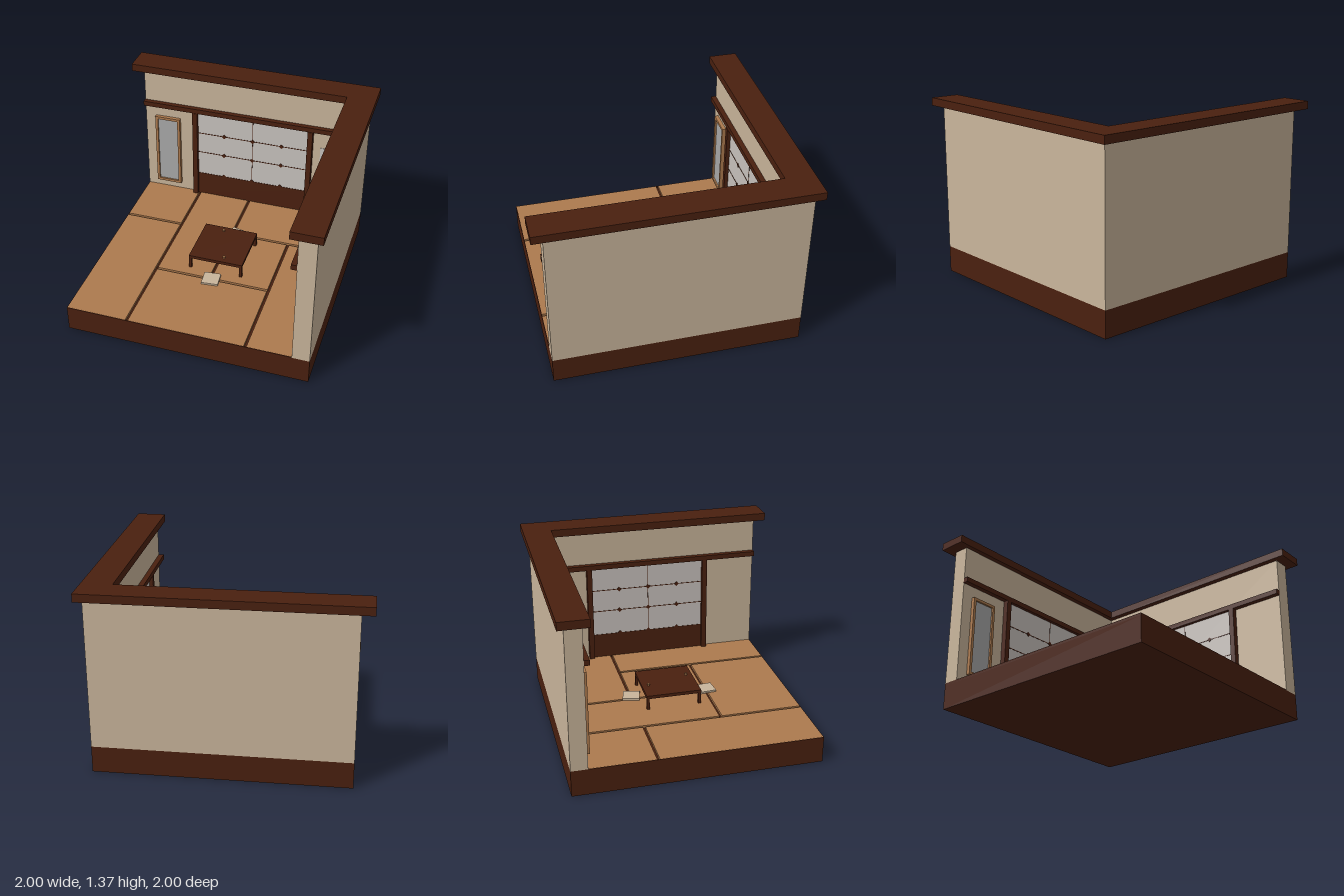
import * as THREE from 'three';

const mat = (name, color) => {
  const m = new THREE.MeshStandardMaterial({ color });
  m.name = name;
  return m;
};

export function createModel() {
  const darkWood = mat('darkWood', 0x4a200f);
  const plaster = mat('plaster', 0xc9b59b);
  const straw = mat('straw', 0xad7a4e);
  const paper = mat('paper', 0xc9c3be);
  const glass = mat('glass', 0xa9a9a9);

  const model = new THREE.Group();
  model.name = 'room';

  // box given by its limits on each axis
  const box = (parent, name, m, [x0, x1], [y0, y1], [z0, z1]) => {
    const mesh = new THREE.Mesh(new THREE.BoxGeometry(x1 - x0, y1 - y0, z1 - z0), m);
    mesh.position.set((x0 + x1) / 2, (y0 + y1) / 2, (z0 + z1) / 2);
    mesh.name = name;
    parent.add(mesh);
    return mesh;
  };
  const group = (name) => {
    const g = new THREE.Group();
    g.name = name;
    model.add(g);
    return g;
  };

  // plinth, with a thin rim hiding the ends of the mats
  box(model, 'plinth', darkWood, [-0.91, 0.95], [0, 0.185], [-0.945, 0.917]);
  box(model, 'frontRim', darkWood, [-0.91, 0.95], [0.185, 0.204], [0.913, 0.917]);
  box(model, 'leftRim', darkWood, [-0.91, -0.906], [0.185, 0.204], [-0.945, 0.913]);
  box(model, 'backSill', darkWood, [-0.906, 0.95], [0.185, 0.2], [-0.945, -0.82]);
  box(model, 'rightSill', darkWood, [0.82, 0.95], [0.185, 0.2], [-0.82, 0.913]);

  // floor mats with dark gaps between them
  const floor = group('floorMats');
  [
    [-0.906, -0.445, -0.82, -0.33], [-0.906, -0.445, -0.31, 0.913],
    [-0.425, -0.005, -0.82, 0.27], [0.015, 0.82, -0.82, -0.33],
    [0.015, 0.465, -0.31, 0.27], [-0.425, 0.465, 0.29, 0.913],
    [0.485, 0.82, -0.31, 0.913],
  ].forEach(([x0, x1, z0, z1]) => box(floor, 'mat', straw, [x0, x1], [0.185, 0.205], [z0, z1]));

  // walls, caps and rails
  box(model, 'backWall', plaster, [-0.91, 0.95], [0.2, 1.31], [-0.945, -0.82]);
  box(model, 'rightWall', plaster, [0.82, 0.95], [0.2, 1.31], [-0.82, 0.917]);
  box(model, 'backCap', darkWood, [-1, 1], [1.31, 1.37], [-1, -0.78]);
  box(model, 'rightCap', darkWood, [0.775, 1], [1.31, 1.37], [-0.78, 1]);
  box(model, 'backRail', darkWood, [-0.913, 0.82], [1.0, 1.04], [-0.82, -0.78]);
  box(model, 'rightRail', darkWood, [0.778, 0.82], [1.0, 1.04], [-0.78, 0.92]);

  // paper screen between two posts
  const screen = (name) => {
    const g = group(name);
    for (const x of [-0.487, 0.487]) {
      box(g, 'post', darkWood, [x - 0.021, x + 0.021], [0.2, 1.0], [-0.82, -0.776]);
    }
    box(g, 'lowerPanel', darkWood, [-0.466, 0.466], [0.2, 0.41], [-0.82, -0.803]);
    box(g, 'paperPanel', paper, [-0.466, 0.466], [0.41, 1.0], [-0.82, -0.806]);
    for (const y of [0.62, 0.805]) {
      box(g, 'crossBar', darkWood, [-0.466, 0.466], [y - 0.003, y + 0.003], [-0.806, -0.804]);
    }
    box(g, 'middleBar', darkWood, [0.003, 0.007], [0.41, 1.0], [-0.806, -0.804]);
    // small diamonds where the bars meet
    for (const x of [-0.24, 0.005, 0.25]) for (const y of [0.41, 0.62, 0.805]) {
      const d = new THREE.Mesh(new THREE.CylinderGeometry(0.02, 0.02, 0.004, 4), darkWood);
      d.name = 'diamond';
      d.rotation.x = Math.PI / 2;
      d.position.set(x, y, -0.803);
      g.add(d);
    }
    return g;
  };
  screen('backScreen').position.x = 0.02;
  screen('rightScreen').rotation.y = -Math.PI / 2;

  // tall framed mirror and pale sheet on the back wall
  const mirror = group('mirror');
  for (const x of [-0.82, -0.627]) {
    box(mirror, 'frameSide', straw, [x, x + 0.022], [0.27, 0.905], [-0.82, -0.79]);
  }
  for (const y of [0.27, 0.883]) {
    box(mirror, 'frameEnd', straw, [-0.798, -0.627], [y, y + 0.022], [-0.82, -0.79]);
  }
  box(mirror, 'mirrorGlass', glass, [-0.798, -0.627], [0.292, 0.883], [-0.82, -0.804]);
  box(model, 'paleSheet', paper, [0.59, 0.735], [0.54, 0.845], [-0.82, -0.817]);

  // low table
  const table = group('table');
  box(table, 'tableTop', darkWood, [-0.195, 0.235], [0.295, 0.32], [-0.24, 0.19]);
  for (const x of [-0.195, 0.213]) for (const z of [-0.24, 0.168]) {
    box(table, 'leg', darkWood, [x, x + 0.022], [0.205, 0.295], [z, z + 0.022]);
  }

  // cups
  for (const [x, z] of [[-0.028, -0.188], [0.077, 0.14]]) {
    const cup = new THREE.Mesh(new THREE.CylinderGeometry(0.011, 0.009, 0.018, 10), straw);
    cup.name = 'cup';
    cup.position.set(x, 0.329, z);
    model.add(cup);
  }

  // floor cushions
  for (const [x, z, turn] of [[0.043, -0.312, -0.25], [0.018, 0.287, 0.09]]) {
    const cushion = box(model, 'cushion', plaster, [-0.065, 0.065], [0.205, 0.22], [-0.065, 0.065]);
    cushion.position.x = x;
    cushion.position.z = z;
    cushion.rotation.y = turn;
  }

  return model;
}
